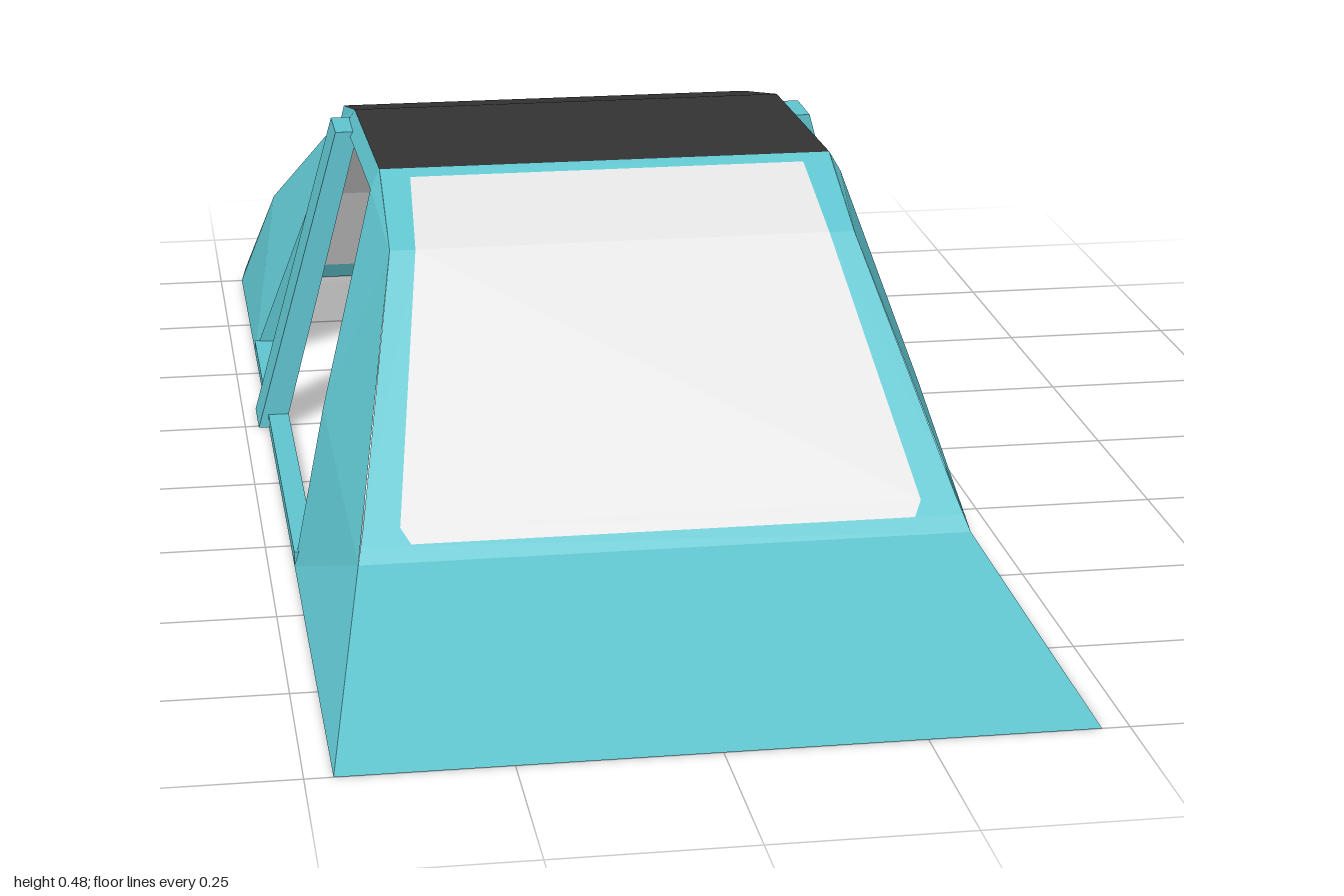
import * as THREE from 'three';

const material = (name, color) => {
  const m = new THREE.MeshStandardMaterial({ color, side: THREE.DoubleSide, flatShading: true });
  m.name = name;
  return m;
};

// Panel mesh from polygons (corner lists), each turned to face away from the cabin centre
function panel(name, mat, polygons) {
  const pos = [];
  const centre = new THREE.Vector3(0, 0.1, 0);
  for (const poly of polygons) {
    const p = poly.map((c) => new THREE.Vector3(...c));
    for (let i = 1; i < p.length - 1; i++) {
      const tri = [p[0], p[i], p[i + 1]];
      const normal = tri[1].clone().sub(tri[0]).cross(tri[2].clone().sub(tri[0]));
      const out = tri[0].clone().add(tri[1]).add(tri[2]).divideScalar(3);
      out.sub(centre).setZ(out.z * 0.5);
      if (normal.dot(out) < 0) tri.reverse();
      tri.forEach((v) => pos.push(v.x, v.y, v.z));
    }
  }
  const g = new THREE.BufferGeometry();
  g.setAttribute('position', new THREE.Float32BufferAttribute(pos, 3));
  g.computeVertexNormals();
  const mesh = new THREE.Mesh(g, mat);
  mesh.name = name;
  return mesh;
}

// Quads joining two polylines with the same number of points
const strip = (a, b) => a.slice(1).map((p, i) => [a[i], p, b[i + 1], b[i]]);
const flip = (line) => line.map(([x, y, z]) => [-x, y, z]);
const mirrored = (polys) => [...polys, ...polys.map(flip)];
// Full-width surface from its +x edge
const across = (edge) => strip(edge, flip(edge));

export function createModel() {
  const group = new THREE.Group();
  const paint = material('teal paint', 0x5fc4ce);
  const glass = material('pale glass', 0xe0e1e0);
  const roofMat = material('black roof', 0x333333);

  // Upper edge of the +x side, nose to tail
  const nose = [0.465, 0, 1], cowl = [0.4, 0.105, 0.6], screenBend = [0.32, 0.41, 0.23];
  const roofFront = [0.318, 0.48, 0.068], roofMid = [0.32, 0.467, -0.32], roofRear = [0.317, 0.41, -0.57];
  const rearBend = [0.31, 0.362, -0.69], rearLow = [0.412, 0.175, -0.9], tail = [0.465, 0, -1];

  // Door opening edge on the +x side, front sill to rear sill
  const sillFront = [0.465, 0, 0.325], pillarMid = [0.415, 0.19, 0.23], doorTop = [0.332, 0.455, 0.08];
  const railMid = [0.334, 0.443, -0.32], doorRear = [0.325, 0.4, -0.53], sillRear = [0.465, 0, -0.605];

  // Bonnet and roof
  group.add(panel('bonnet', paint, across([nose, cowl])));
  group.add(panel('roof', roofMat, across([roofFront, roofMid, roofRear])));

  // Windscreen with a painted surround
  const frameLow = [0.395, 0.122, 0.58], frameUp = [0.39, 0.138, 0.56], frameTop = [0.318, 0.472, 0.086];
  const screen = [[0.33, 0.122, 0.58], [0.342, 0.138, 0.56], [0.285, 0.41, 0.23], [0.277, 0.472, 0.086]];
  group.add(panel('windscreen', glass, across(screen)));
  group.add(panel('windscreenFrame', paint, [
    ...mirrored(strip([frameLow, frameUp, screenBend, frameTop], screen)),
    ...across([cowl, frameLow]),
    ...across([frameTop, roofFront]),
  ]));

  // Rear window with a thin painted surround and tail lip
  const rearEdge = [roofRear, rearBend, rearLow, [0.459, 0.026, -0.985]];
  const rearPane = rearEdge.map(([x, y, z], i) => [x - [0.012, 0.012, 0.014, 0.02][i], y, z]);
  group.add(panel('rearWindow', glass, across(rearPane)));
  group.add(panel('rearWindowFrame', paint, [
    ...mirrored(strip(rearEdge, rearPane)),
    ...across([rearEdge[3], tail]),
  ]));

  // Front wings, roof rails and rear quarters
  group.add(panel('frontWings', paint, mirrored([
    [nose, cowl, sillFront],
    ...strip([cowl, screenBend, roofFront], [sillFront, pillarMid, doorTop]),
  ])));
  group.add(panel('roofRails', paint, mirrored(
    strip([roofFront, roofMid, roofRear], [doorTop, railMid, doorRear]))));
  group.add(panel('rearQuarters', paint, mirrored([
    [roofRear, rearBend, doorRear],
    [doorRear, rearBend, sillRear],
    [rearBend, rearLow, sillRear],
    [rearLow, tail, sillRear],
  ])));

  // Inward returns around the door openings
  const opening = [sillFront, pillarMid, doorTop, railMid, doorRear, sillRear];
  const drop = [0, 0.002, 0.026, 0.026, 0.026, 0];
  const shift = [-0.005, -0.005, -0.004, 0, 0.003, 0.005];
  const inner = opening.map(([x, y, z], i) => [x - 0.028, y - drop[i], z + shift[i]]);
  group.add(panel('doorFrames', paint, mirrored(strip(opening, inner))));

  // Sills and leaning centre pillars
  for (const side of [1, -1]) {
    const name = side > 0 ? 'left' : 'right';
    const sill = new THREE.Mesh(new THREE.BoxGeometry(0.03, 0.02, 0.93), paint);
    sill.position.set(side * 0.45, 0.01, -0.14);
    sill.name = name + 'Sill';
    const shape = new THREE.Shape(
      [[0.48, 0], [0.355, 0.453], [0.322, 0.453], [0.44, 0]].map(([x, y]) => new THREE.Vector2(side * x, y)));
    const geo = new THREE.ExtrudeGeometry(shape, { depth: 0.087, bevelEnabled: false });
    geo.translate(0, 0, -0.33);
    const pillar = new THREE.Mesh(geo, paint);
    pillar.name = name + 'CentrePillar';
    group.add(sill, pillar);
  }
  return group;
}
